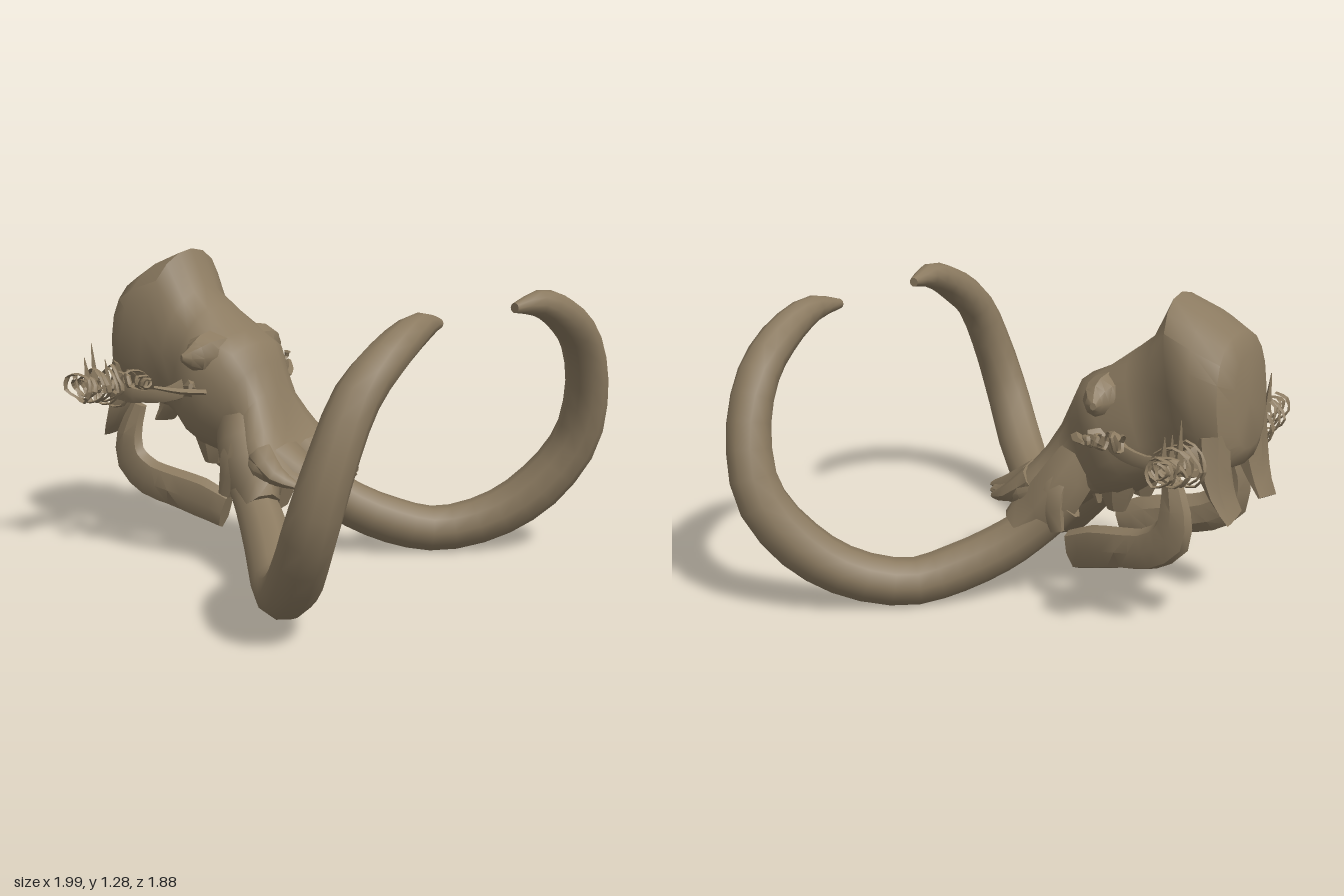
import * as THREE from 'three';
import { mergeVertices, toCreasedNormals } from 'three/addons/utils/BufferGeometryUtils.js';

const V = (x, y, z) => new THREE.Vector3(x, y, z);
const bone = new THREE.MeshStandardMaterial({ color: 0x8b7a60, side: THREE.DoubleSide });
bone.name = 'bone';

// Closed skin through rings of equal point count, with fan caps at both ends
function loft(rings, crease) {
  const n = rings[0].length, pos = [], idx = [];
  rings.forEach(r => r.forEach(p => pos.push(p.x, p.y, p.z)));
  for (let i = 0; i < rings.length - 1; i++) for (let j = 0; j < n; j++) {
    const a = i * n + j, b = i * n + (j + 1) % n;
    idx.push(a, b, a + n, b, b + n, a + n);
  }
  [0, rings.length - 1].forEach((i, end) => {
    const c = rings[i].reduce((s, p) => s.add(p), V(0, 0, 0)).divideScalar(n);
    const k = pos.length / 3;
    pos.push(c.x, c.y, c.z);
    for (let j = 0; j < n; j++) {
      const a = i * n + j, b = i * n + (j + 1) % n;
      if (end) idx.push(a, b, k); else idx.push(b, a, k);
    }
  });
  const g = new THREE.BufferGeometry();
  g.setAttribute('position', new THREE.Float32BufferAttribute(pos, 3));
  g.setIndex(idx);
  return toCreasedNormals(mergeVertices(g), crease);
}

// Tapered sweep: each station is [x, y, z, half size along ref, half size across]
function sweep(stations, steps, sides, ref = V(1, 0, 0), crease = 0.9) {
  const curve = new THREE.CatmullRomCurve3(stations.map(s => V(s[0], s[1], s[2])));
  const rings = [];
  for (let i = 0; i <= steps; i++) {
    const t = i / steps, u = t * (stations.length - 1);
    const k = Math.min(Math.floor(u), stations.length - 2), f = u - k;
    const size = m => THREE.MathUtils.lerp(stations[k][m] ?? stations[k][3], stations[k + 1][m] ?? stations[k + 1][3], f);
    const p = curve.getPoint(t), tan = curve.getTangent(t);
    const nrm = ref.clone().addScaledVector(tan, -ref.dot(tan)).normalize();
    const bin = tan.clone().cross(nrm);
    rings.push(Array.from({ length: sides }, (_, j) => {
      const a = j / sides * Math.PI * 2;
      return p.clone().addScaledVector(nrm, Math.cos(a) * size(3)).addScaledVector(bin, Math.sin(a) * size(4));
    }));
  }
  return loft(rings, crease);
}

// Ragged flat ribbon winding about an axis
function coil(center, axis, length, turns, r0, r1, width, seed) {
  const ax = axis.clone().normalize();
  const u = V(0, 1, 0), w = ax.clone().cross(u).normalize();
  let s = seed;
  const rnd = () => (s = (s * 16807) % 2147483647) / 2147483647;
  const pts = [], n = turns * 7;
  for (let i = 0; i <= n; i++) {
    const t = i / n, a = t * turns * Math.PI * 2;
    const r = THREE.MathUtils.lerp(r0, r1, t) * (0.7 + 0.5 * rnd());
    const p = center.clone().addScaledVector(ax, t * length + (rnd() - 0.5) * 0.03)
      .addScaledVector(u, Math.cos(a) * r).addScaledVector(w, Math.sin(a) * r);
    pts.push([p.x, p.y, p.z, width * (0.6 + 0.6 * rnd()), 0.005]);
  }
  return sweep(pts, n * 2, 4, ax, 0.4);
}

// Skull stations: [top z, top y, bottom z, bottom y, half width, centre groove, upper roundness]
function skull() {
  const st = [
    [.165, .425, .16, .385, .17, .02, .75], [.09, .46, .05, .365, .225, .03, .75], [.0, .54, -.07, .36, .27, .03, .75],
    [-.065, .62, -.2, .36, .24, .02, .75], [-.13, .73, -.28, .43, .185, 0, .75], [-.18, .84, -.36, .44, .2, 0, .75],
    [-.225, .925, -.44, .46, .235, 0, .75], [-.31, .965, -.51, .51, .26, 0, .75], [-.44, 1.06, -.59, .56, .215, 0, .8],
    [-.53, 1.13, -.67, .6, .205, 0, .9], [-.61, 1.29, -.75, .61, .24, 0, 1], [-.74, 1.235, -.83, .62, .262, 0, .95],
    [-.86, 1.165, -.89, .65, .225, 0, .9], [-.895, 1.08, -.92, .72, .13, 0, .9],
  ];
  const n = 20;
  return loft(st.map(([tz, ty, bz, by, w, groove, round]) => Array.from({ length: n }, (_, j) => {
    const a = j / n * Math.PI * 2, c = Math.cos(a), s = Math.sin(a);
    const x = w * Math.sign(c) * Math.abs(c) ** (s > 0 ? round : 0.75);
    const v = 0.5 + 0.5 * Math.sign(s) * Math.abs(s) ** 0.85;
    const y = by + (ty - by) * v, z = bz + (tz - bz) * v;
    const dent = Math.abs(c) < 0.2 ? groove : 0;
    return V(x, s > 0 ? y - dent * 0.7 : y + dent, s > 0 ? z - dent : z);
  })), 0.8);
}

// Parts of one side, built for +x
function sideParts() {
  const g = new THREE.Group();
  const add = (name, geo) => {
    const m = new THREE.Mesh(geo, bone);
    m.name = name;
    g.add(m);
  };
  add('tusk', sweep([
    [.16, .42, -.2, .08], [.21, .31, -.08, .09], [.28, .22, .03, .098], [.4, .14, .17, .1], [.54, .098, .31, .096],
    [.7, .155, .49, .1], [.82, .285, .64, .105], [.9, .49, .765, .1], [.868, .73, .83, .09],
    [.765, .935, .855, .084], [.6, 1.06, .868, .076], [.42, 1.132, .862, .058], [.26, 1.13, .84, .02],
  ], 28, 10, V(1, 0, -1)));
  add('tuskSocket', sweep([
    [.12, .62, -.25, .08, .1], [.17, .48, -.17, .1, .12], [.2, .37, -.09, .09, .12], [.24, .3, -.02, .075, .085],
  ], 5, 8));
  add('socketFlange', sweep([
    [.16, .6, -.2, .04, .05], [.235, .48, -.17, .035, .07], [.25, .32, -.21, .02, .03],
  ], 4, 6));
  // Lobes that scallop the front lip
  add('innerSnoutLobe', sweep([
    [.1, .5, -.02, .1, .05], [.085, .43, .12, .07, .03], [.07, .405, .2, .035, .012],
  ], 4, 8));
  add('outerSnoutLobe', sweep([
    [.19, .5, -.06, .07, .06], [.21, .43, .04, .055, .04], [.19, .4, .125, .025, .015],
  ], 4, 8));
  // Eye socket rim flaring out of the skull side
  add('browRidge', sweep([
    [.1, .87, -.38, .11, .11], [.19, .88, -.375, .085, .09], [.25, .875, -.375, .05, .06], [.3, .875, -.395, .012, .015],
  ], 5, 8, V(0, 0, 1), 0.7));
  add('cheekSpur', sweep([
    [.16, .7, -.4, .06, .08], [.23, .74, -.41, .04, .05], [.285, .76, -.36, .01, .015],
  ], 4, 6, V(0, 0, 1), 0.5));
  add('cheekArch', sweep([
    [.2, .76, -.4, .03, .05], [.27, .71, -.5, .02, .035], [.295, .69, -.62, .016, .03],
    [.28, .69, -.74, .025, .045], [.2, .72, -.83, .03, .07],
  ], 10, 6));
  // Broad plate hanging from the back corner of the skull
  add('occipitalWing', sweep([
    [.16, .8, -.83, .09, .07], [.165, .66, -.85, .1, .055], [.165, .56, -.885, .09, .03], [.15, .48, -.93, .075, .008],
  ], 5, 7, V(1, 0, 0), 0.5));
  add('upperMolar', sweep([
    [.11, .6, -.42, .05, .1], [.11, .48, -.4, .045, .075], [.11, .405, -.4, .025, .04],
  ], 3, 6, V(1, 0, 0), 0.5));
  add('palateSpur', sweep([
    [.1, .5, -.3, .04, .05], [.11, .42, -.32, .01, .01],
  ], 2, 5));
  add('lowerJaw', sweep([
    [.2, .235, -.25, .04, .082], [.22, .275, -.37, .05, .092], [.245, .305, -.5, .055, .085], [.262, .33, -.62, .05, .085],
    [.27, .4, -.72, .045, .085], [.268, .51, -.735, .04, .065], [.24, .64, -.7, .03, .035],
  ], 12, 7, V(1, 0, 0), 0.6));
  // Curled growths: a short stem, then a ragged coil
  add('rearStem', sweep([
    [.2, .68, -.8, .03], [.28, .67, -.8, .02], [.36, .72, -.79, .012],
  ], 5, 5, V(0, 0, 1)));
  add('rearCoil', coil(V(.275, .715, -.795), V(1, .1, .02), .25, 7, .08, .06, .013, 77));
  add('innerCoil', coil(V(.32, .72, -.79), V(1, .1, 0), .2, 4, .03, .035, .012, 913));
  [[.39, .75, -.81, .91], [.36, .73, -.76, .84], [.46, .76, -.78, .86]].forEach(([x, y, z, tip]) =>
    add('coilSpike', sweep([[x, y, z, .018], [x + .01, tip, z - .01, .002]], 1, 4)));
  add('frontStem', sweep([
    [.26, .74, -.3, .012, .022], [.35, .75, -.36, .012, .02], [.43, .77, -.43, .007, .012],
  ], 6, 4, V(0, 1, 0), 0.4));
  add('frontCoil', coil(V(.435, .785, -.44), V(-.1, .05, -1), .15, 3, .025, .04, .011, 41));
  return g;
}

export function createModel() {
  const model = new THREE.Group();
  model.name = 'tuskedSkull';
  const head = new THREE.Mesh(skull(), bone);
  head.name = 'skull';
  model.add(head);
  for (const s of [1, -1]) {
    const half = sideParts();
    half.name = s > 0 ? 'leftSide' : 'rightSide';
    half.scale.x = s;
    model.add(half);
  }
  return model;
}
